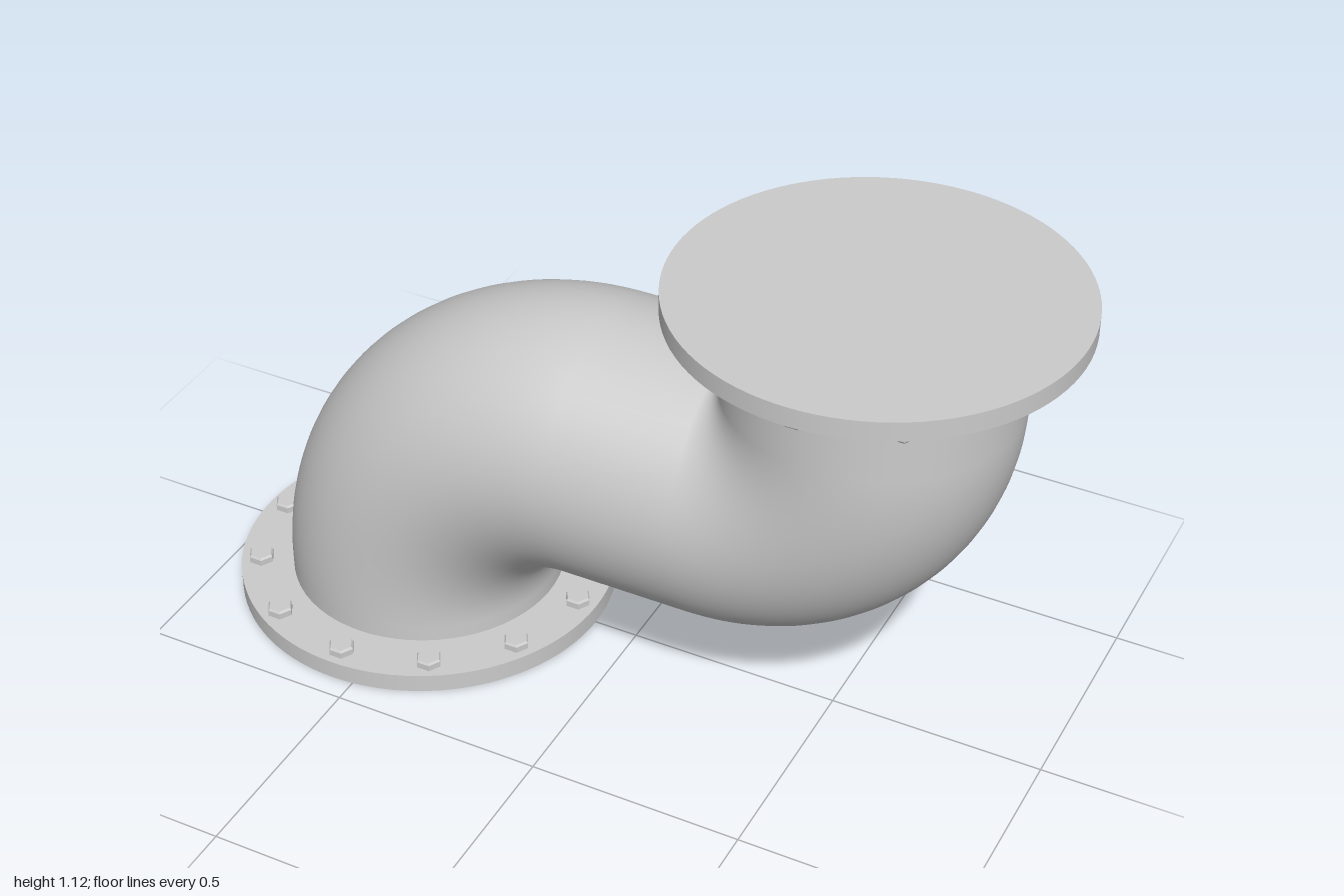
import * as THREE from 'three';

const R = 0.323;          // pipe radius
const AXIS_X = 0.553;     // flange centre offset
const MID_Y = 0.5625;     // height of the horizontal run
const TOP = 1.125;        // overall height
const FLANGE_R = 0.447, FLANGE_T = 0.045;
const SIDES = 64;

export function createModel() {
  const group = new THREE.Group();
  const material = new THREE.MeshStandardMaterial({ color: 0xcccccc });
  const boltMaterial = new THREE.MeshStandardMaterial({ color: 0xcccccc, flatShading: true });

  const add = (parent, name, geometry, x, y, z = 0, mat = material) => {
    const mesh = new THREE.Mesh(geometry, mat);
    mesh.name = name;
    mesh.position.set(x, y, z);
    parent.add(mesh);
    return mesh;
  };

  // Quarter-turn elbow starting at the given angle in the XY plane
  const elbow = (name, bendRadius, x, y, start) =>
    add(group, name, new THREE.TorusGeometry(bendRadius, R, SIDES, 40, Math.PI / 2).rotateZ(start), x, y);

  // Straight open pipe
  const pipe = (name, length, x, y) =>
    add(group, name, new THREE.CylinderGeometry(R, R, length, SIDES, 1, true), x, y);

  // Wide lower elbow and tight upper elbow, tangent to the straight runs
  const lowerBend = AXIS_X - 0.07, lowerY = MID_Y - lowerBend;
  const upperX = AXIS_X - R, upperY = MID_Y + R;
  elbow('lowerElbow', lowerBend, -0.07, lowerY, Math.PI / 2);
  elbow('upperElbow', R, upperX, upperY, -Math.PI / 2);

  pipe('lowerPipe', lowerY, -AXIS_X, lowerY / 2);
  const upperLength = TOP - 0.02 - upperY;
  pipe('upperPipe', upperLength, AXIS_X, upperY + upperLength / 2);
  pipe('middlePipe', upperX + 0.07, (upperX - 0.07) / 2, MID_Y).rotation.z = Math.PI / 2;

  // Hex bolt head with a chamfered rim, corners along x
  const boltGeometry = new THREE.LatheGeometry(
    [[0.031, -0.005], [0.031, 0.015], [0.027, 0.02], [0, 0.02]].map(([r, y]) => new THREE.Vector2(r, y)),
    6
  ).rotateY(Math.PI / 6);

  // Flange disc with a ring of twelve bolts on its pipe side
  const makeFlange = (name) => {
    const flange = new THREE.Group();
    flange.name = name;
    add(flange, 'flangeDisc', new THREE.CylinderGeometry(FLANGE_R, FLANGE_R, FLANGE_T, 96), 0, FLANGE_T / 2);
    for (let i = 0; i < 12; i++) {
      const a = (i * Math.PI) / 6;
      add(flange, 'bolt', boltGeometry, 0.4 * Math.cos(a), FLANGE_T, 0.4 * Math.sin(a), boltMaterial);
    }
    group.add(flange);
    return flange;
  };
  makeFlange('lowerFlange').position.x = -AXIS_X;
  const upper = makeFlange('upperFlange');
  upper.position.set(AXIS_X, TOP, 0);
  upper.rotation.x = Math.PI;

  return group;
}
